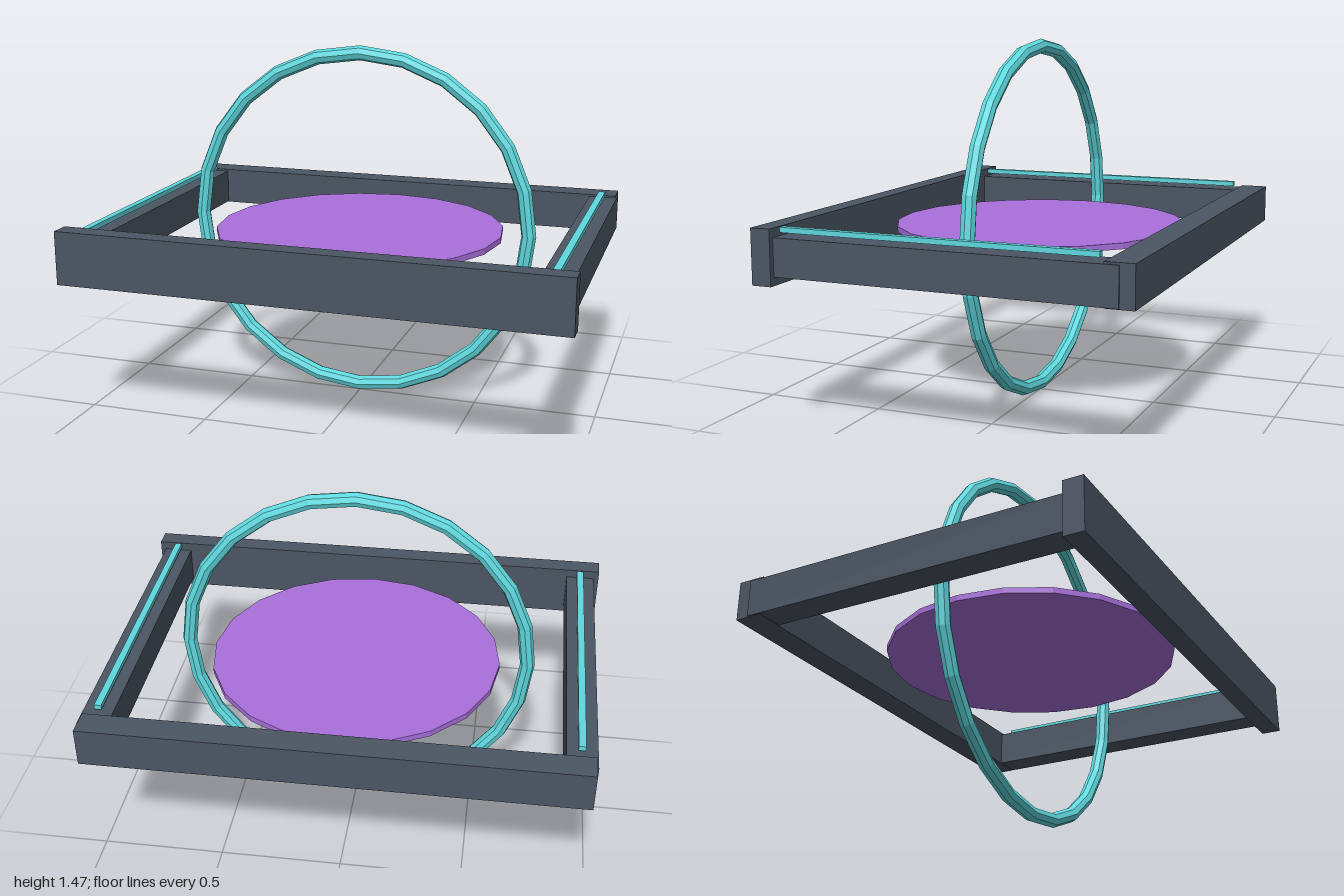
import * as THREE from 'three';

const material = (color) => new THREE.MeshStandardMaterial({ color, flatShading: true });
const slate = material(0x4b5563);
const cyan = material(0x5fd8de);
const violet = material(0xa96fdc);

export function createModel() {
  const model = new THREE.Group();

  const add = (name, geometry, mat, x, y, z) => {
    const mesh = new THREE.Mesh(geometry, mat);
    mesh.name = name;
    mesh.position.set(x, y, z);
    model.add(mesh);
    return mesh;
  };
  // box given by its limits along each axis
  const box = (name, mat, [x0, x1], [y0, y1], [z0, z1]) =>
    add(name, new THREE.BoxGeometry(x1 - x0, y1 - y0, z1 - z0), mat,
      (x0 + x1) / 2, (y0 + y1) / 2, (z0 + z1) / 2);

  // cross beams
  box('frontBeam', slate, [-1, 1], [0.59, 0.805], [0.65, 0.73]);
  box('backBeam', slate, [-0.972, 0.972], [0.62, 0.778], [-0.73, -0.62]);

  // side beams, each with a light strip floating just above
  for (const [side, s] of [['left', 1], ['right', -1]]) {
    const span = (a, b) => (s > 0 ? [a, b] : [-b, -a]);
    box(side + 'Beam', slate, span(0.86, 0.978), [0.623, 0.77], [-0.675, 0.675]);
    box(side + 'LightStrip', cyan, span(0.903, 0.931), [0.781, 0.801], [-0.592, 0.66]);
  }

  // upright ring around a thin level disc
  add('ring', new THREE.TorusGeometry(0.705, 0.03, 8, 24), cyan, 0, 0.735, 0);
  add('disc', new THREE.CylinderGeometry(0.593, 0.593, 0.024, 20), violet, 0, 0.71, 0);

  return model;
}
